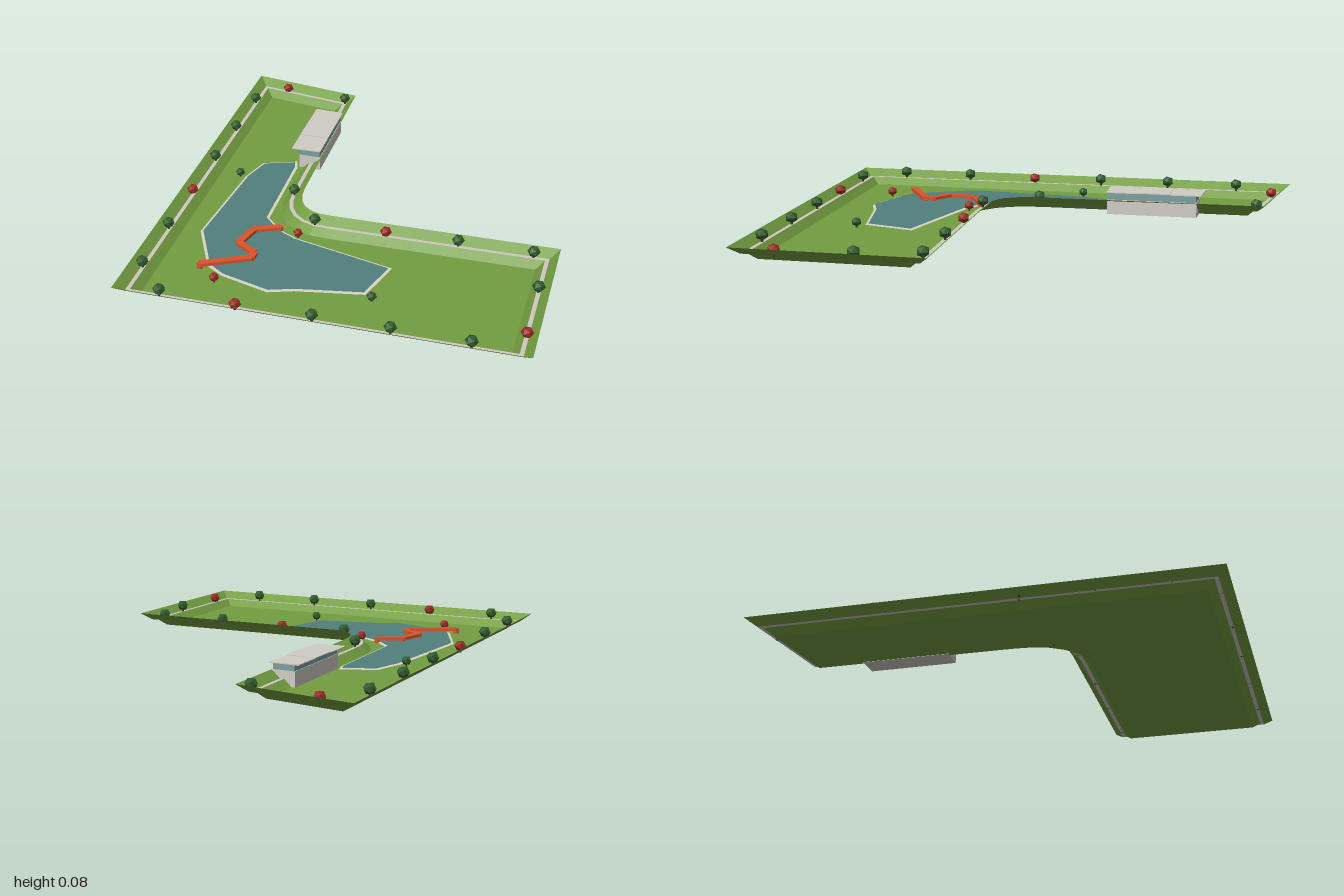
import * as THREE from 'three';

const material = (name, color, side = THREE.FrontSide, flatShading = true) => {
  const m = new THREE.MeshStandardMaterial({ color, side, flatShading });
  m.name = name;
  return m;
};

// Move a closed outline of [x, z] points inward by d (negative d grows it)
function inset(points, d) {
  const n = points.length;
  const normal = (a, b) => new THREE.Vector2(a[1] - b[1], b[0] - a[0]).normalize();
  return points.map((p, i) => {
    const n1 = normal(points[(i + n - 1) % n], p);
    const n2 = normal(p, points[(i + 1) % n]);
    const k = d / (1 + n1.dot(n2));
    return [p[0] + (n1.x + n2.x) * k, p[1] + (n1.y + n2.y) * k];
  });
}

const toShape = (points) => new THREE.Shape(points.map(([x, z]) => new THREE.Vector2(x, -z)));

// Upright prism over an outline
function slab(points, y, height) {
  const g = new THREE.ExtrudeGeometry(toShape(points), { depth: height, bevelEnabled: false });
  return g.rotateX(-Math.PI / 2).translate(0, y, 0);
}

// Flat face over an outline
const sheet = (points, y) => new THREE.ShapeGeometry(toShape(points)).rotateX(-Math.PI / 2).translate(0, y, 0);

// Sloping band between two insets of one outline
function band(outline, d0, y0, d1, y1) {
  const a = inset(outline, d0), b = inset(outline, d1), v = [];
  for (let i = 0; i < a.length; i++) {
    const j = (i + 1) % a.length;
    const A = [a[i][0], y0, a[i][1]], B = [a[j][0], y0, a[j][1]];
    const C = [b[j][0], y1, b[j][1]], D = [b[i][0], y1, b[i][1]];
    v.push(...A, ...C, ...B, ...A, ...D, ...C);
  }
  const g = new THREE.BufferGeometry();
  g.setAttribute('position', new THREE.Float32BufferAttribute(v, 3));
  g.computeVertexNormals();
  return g;
}

export function createModel() {
  const grass = material('grass green', 0x739d41, THREE.DoubleSide);
  const path = material('path grey', 0xcdc9c0, THREE.DoubleSide);
  const stone = material('pale stone', 0xd0ccc4);
  const edging = material('pond edging', 0xd8d4c6);
  const water = material('water teal', 0x51807d);
  const glass = material('glass blue', 0x7d9fa0);
  const leaf = material('leaf green', 0x2f5a2c);
  const redLeaf = material('red leaf', 0x962a22);
  const bark = material('bark brown', 0x4a3423);
  const bridgeRed = material('bridge red', 0xd9532b);

  const model = new THREE.Group();
  model.name = 'sunkenGarden';
  const add = (name, geometry, mat, parent = model) => {
    const mesh = new THREE.Mesh(geometry, mat);
    mesh.name = name;
    parent.add(mesh);
    return mesh;
  };

  // Bent outline with a rounded inner corner
  const bend = new THREE.QuadraticBezierCurve(
    new THREE.Vector2(0.02, -0.10), new THREE.Vector2(-0.06, 0.037), new THREE.Vector2(0.055, 0.1));
  const outline = [
    [0.08, -1], [0.387, -0.735],
    ...bend.getPoints(6).map((p) => [p.x, p.y]),
    [0.702, 0.484], [0.394, 0.997], [-0.704, 0.338],
  ];

  // Sunken floor, two banks and the ledge path between them
  add('floor', sheet(inset(outline, 0.068), 0.001), grass);
  add('upperBank', band(outline, 0, 0.048, 0.03, 0.024), grass);
  add('ledgePath', band(outline, 0.03, 0.024, 0.043, 0.024), path);
  add('lowerBank', band(outline, 0.043, 0.024, 0.068, 0.001), grass);

  // Pond with a pale edge
  const pond = [
    [-0.058, -0.378], [0.055, -0.358], [0.045, -0.318], [-0.132, -0.008], [-0.112, 0.082], [-0.077, 0.142],
    [0.168, 0.392], [0.048, 0.507], [-0.157, 0.432], [-0.237, 0.417], [-0.352, 0.292], [-0.382, 0.227],
    [-0.362, 0.017], [-0.137, -0.303],
  ];
  add('pondEdge', sheet(inset(pond, -0.004), 0.005), edging);
  add('pondWater', sheet(inset(pond, 0.005), 0.008), water);

  // Zigzag footbridge
  const bridge = new THREE.Group();
  bridge.name = 'footbridge';
  model.add(bridge);
  const route = [[-0.41, 0.227], [-0.245, 0.234], [-0.23, 0.208], [-0.264, 0.137], [-0.198, 0.07], [-0.112, 0.077]];
  route.forEach(([x, z], i) => {
    add('bridgePost', new THREE.CylinderGeometry(0.01, 0.01, 0.018, 6).translate(x, 0.011, z), bridgeRed, bridge);
    if (i === 0) return;
    const [px, pz] = route[i - 1];
    const length = Math.hypot(x - px, z - pz);
    const deck = add('bridgeDeck', new THREE.BoxGeometry(length, 0.01, 0.024), bridgeRed, bridge);
    deck.position.set((x + px) / 2, 0.017, (z + pz) / 2);
    deck.rotation.y = -Math.atan2(z - pz, x - px);
  });

  // Pavilion: stone base and glass storey under three wider roof plates
  const pavilion = new THREE.Group();
  pavilion.name = 'pavilion';
  model.add(pavilion);
  const walls = [[0.21, -0.588], [0.274, -0.545], [0.124, -0.29], [0.06, -0.33]];
  const roof = [[0.2, -0.615], [0.284, -0.557], [0.124, -0.288], [0.035, -0.34]];
  add('pavilionBase', slab(walls, 0, 0.049), stone, pavilion);
  add('pavilionGlass', slab(inset(walls, 0.002), 0.049, 0.022), glass, pavilion);
  const mix = (a, b, t) => [a[0] + (b[0] - a[0]) * t, a[1] + (b[1] - a[1]) * t];
  for (let i = 0; i < 3; i++) {
    const t0 = i / 3, t1 = (i + 1) / 3;
    const plate = [mix(roof[0], roof[3], t0), mix(roof[1], roof[2], t0),
      mix(roof[1], roof[2], t1), mix(roof[0], roof[3], t1)];
    add('roofPlate', slab(plate, 0.0715 + 0.0015 * (i % 2), 0.003), stone, pavilion);
  }

  // Trees along the ledge and beside the pond
  const trunk = new THREE.CylinderGeometry(0.003, 0.004, 0.024, 6).translate(0, 0.012, 0);
  const crown = new THREE.IcosahedronGeometry(0.021, 0).scale(1, 0.9, 1).translate(0, 0.023, 0);
  const plant = (name, spots, mat, y, s) => spots.forEach(([x, z]) => {
    const tree = new THREE.Group();
    tree.name = name;
    add('trunk', trunk, bark, tree);
    add('crown', crown, mat, tree);
    tree.position.set(x, y, z);
    tree.scale.setScalar(s);
    model.add(tree);
  });
  plant('greenTree', [
    [0.342, -0.728], [0.016, -0.822], [-0.106, -0.616], [-0.226, -0.41], [-0.468, 0.003], [-0.588, 0.211],
    [-0.565, 0.38], [-0.153, 0.628], [0.052, 0.748], [0.257, 0.873], [0.553, 0.66], [0.615, 0.473],
    [0.408, 0.348], [-0.001, 0.103], [-0.017, -0.103],
  ], leaf, 0.024, 1);
  plant('redTree', [[0.16, -0.882], [-0.348, -0.203], [-0.358, 0.506], [0.431, 0.867], [0.203, 0.23]], redLeaf, 0.019, 0.95);
  plant('pondTree', [[-0.157, -0.316], [0.059, 0.543]], leaf, 0.001, 0.8);
  plant('pondRedTree', [[-0.065, 0.13], [-0.383, 0.316]], redLeaf, 0.001, 0.8);

  return model;
}
